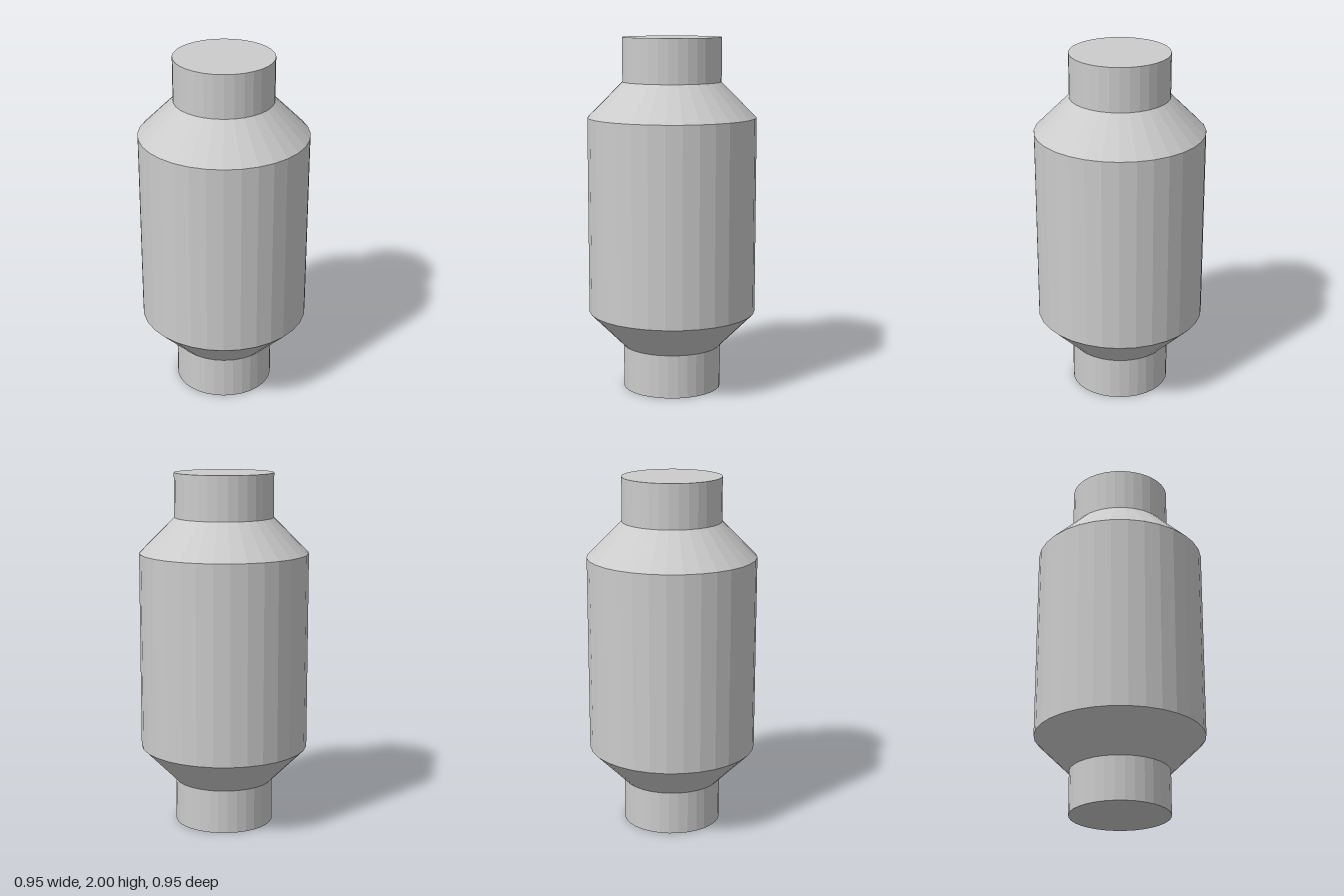
import * as THREE from 'three';

const SIDES = 32;
const NECK_R = 0.278;
const BODY_R = 0.475;

export function createModel() {
  const group = new THREE.Group();
  group.name = 'canister';
  const material = new THREE.MeshStandardMaterial({ color: 0xcccccc, flatShading: true });

  const add = (name, geometry, y = 0) => {
    const mesh = new THREE.Mesh(geometry, material);
    mesh.name = name;
    mesh.position.y = y;
    group.add(mesh);
  };

  // Open faceted ring between two heights
  const section = (name, y0, y1, r0, r1) =>
    add(name, new THREE.CylinderGeometry(r1, r0, y1 - y0, SIDES, 1, true), (y0 + y1) / 2);

  // Flat disc closing a neck
  const cap = (name, y, tilt) =>
    add(name, new THREE.CircleGeometry(NECK_R, SIDES).rotateX(tilt), y);

  cap('bottomCap', 0, Math.PI / 2);
  section('bottomNeck', 0, 0.247, NECK_R, NECK_R);
  section('bottomShoulder', 0.247, 0.445, NECK_R, BODY_R);
  section('body', 0.445, 1.555, BODY_R, BODY_R);
  section('topShoulder', 1.555, 1.753, BODY_R, NECK_R);
  section('topNeck', 1.753, 2, NECK_R, NECK_R);
  cap('topCap', 2, -Math.PI / 2);

  return group;
}
